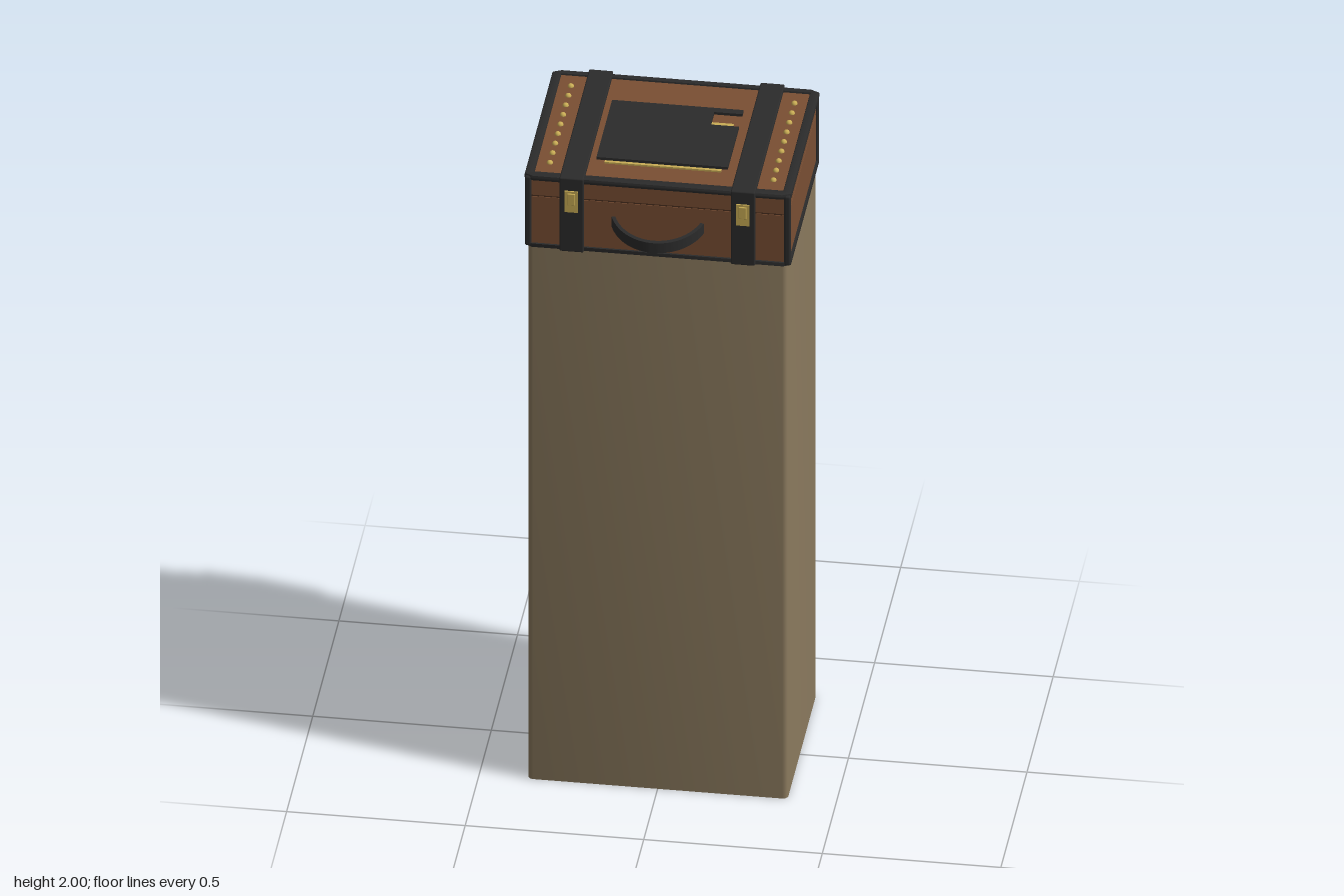
import * as THREE from 'three';
import { toCreasedNormals } from 'three/addons/utils/BufferGeometryUtils.js';
import { RoundedBoxGeometry } from 'three/addons/geometries/RoundedBoxGeometry.js';

const mat = (name, color) => {
  const m = new THREE.MeshStandardMaterial({ color });
  m.name = name;
  return m;
};

export function createModel() {
  const root = new THREE.Group();
  root.name = 'suitcaseOnPedestal';
  const stone = mat('pedestal tan', 0x8b7a5e);
  const leather = mat('brown leather', 0x7a4f33);
  const seamMat = mat('dark brown seam', 0x4a2f1e);
  const black = mat('black leather', 0x2b2b2b);
  const gold = mat('brass', 0xc9ad55);

  const add = (name, geometry, material, parent = root) => {
    const mesh = new THREE.Mesh(geometry, material);
    mesh.name = name;
    parent.add(mesh);
    return mesh;
  };
  // box given by its limits, optionally with rounded edges
  const block = (name, [x0, x1], [y0, y1], [z0, z1], material, r = 0, parent = root) => {
    const s = [x1 - x0, y1 - y0, z1 - z0];
    const g = r ? new RoundedBoxGeometry(...s, 2, r) : new THREE.BoxGeometry(...s);
    g.translate((x0 + x1) / 2, (y0 + y1) / 2, (z0 + z1) / 2);
    return add(name, g, material, parent);
  };
  // outline in x and z with cut corners
  const cutRect = (x, z0, z1, cx, cz) => [
    [-x + cx, z0], [x - cx, z0], [x, z0 + cz], [x, z1 - cz],
    [x - cx, z1], [-x + cx, z1], [-x, z1 - cz], [-x, z0 + cz],
  ];
  // horizontal slab from an outline of [x, z] points
  const slab = (points, y0, y1, hole, bevel = 0) => {
    const toV = (p) => p.map(([x, z]) => new THREE.Vector2(x, -z));
    const shape = new THREE.Shape(toV(points));
    if (hole) shape.holes.push(new THREE.Path(toV(hole)));
    const g = new THREE.ExtrudeGeometry(shape, {
      depth: y1 - y0 - 2 * bevel, bevelEnabled: bevel > 0,
      bevelSize: bevel, bevelThickness: bevel, bevelOffset: -bevel, bevelSegments: 2,
    });
    g.rotateX(-Math.PI / 2).translate(0, y0 + bevel, 0);
    return toCreasedNormals(g, 0.7);
  };

  // Pedestal with softened upright edges
  const outline = [];
  const r = 0.015;
  [[1, 1], [-1, 1], [-1, -1], [1, -1]].forEach(([sx, sz], i) => {
    for (let k = 0; k <= 4; k++) {
      const a = (i + k / 4) * Math.PI / 2;
      outline.push([sx * (0.364 - r) + r * Math.cos(a), -0.038 + sz * (0.272 - r) + r * Math.sin(a)]);
    }
  });
  add('pedestal', slab(outline, 0, 1.755), stone);

  // Case body, lid and seam
  const suitcase = new THREE.Group();
  suitcase.name = 'suitcase';
  root.add(suitcase);
  block('caseBody', [-0.365, 0.365], [1.752, 1.908], [-0.311, 0.231], leather, 0, suitcase);
  block('lidSeam', [-0.363, 0.363], [1.907, 1.914], [-0.309, 0.229], seamMat, 0, suitcase);
  block('caseLid', [-0.365, 0.365], [1.913, 1.974], [-0.311, 0.231], leather, 0, suitcase);

  // Edge trim: rims above and below, strips on the four corners
  const rim = cutRect(0.374, -0.32, 0.238, 0.025, 0.012);
  const opening = [[-0.348, -0.3], [-0.348, 0.21], [0.348, 0.21], [0.348, -0.3]];
  add('topTrim', slab(rim, 1.962, 1.98, opening, 0.006), black, suitcase);
  add('bottomTrim', slab(cutRect(0.372, -0.319, 0.237, 0.02, 0.012), 1.746, 1.757), black, suitcase);
  for (const s of [-1, 1]) {
    for (const [z0, z1] of [[-0.319, -0.302], [0.22, 0.237]]) {
      const x = s < 0 ? [-0.372, -0.354] : [0.354, 0.372];
      block('cornerTrim', x, [1.748, 1.975], [z0, z1], black, 0.006, suitcase);
    }
  }

  for (const s of [-1, 1]) {
    const c = 0.24 * s;
    const side = s > 0 ? 'left' : 'right';
    // Strap over front, top and back
    const strap = new THREE.Group();
    strap.name = side + 'Strap';
    suitcase.add(strap);
    const w = [c - 0.034, c + 0.034];
    block('strapTop', w, [1.966, 1.984], [-0.327, 0.245], black, 0.004, strap);
    block('strapFront', w, [1.744, 1.983], [0.229, 0.245], black, 0.004, strap);
    block('strapBack', w, [1.744, 1.983], [-0.327, -0.309], black, 0.004, strap);

    // Brass latch
    const latch = new THREE.Group();
    latch.name = side + 'Latch';
    suitcase.add(latch);
    block('latchPlate', [c - 0.019, c + 0.019], [1.876, 1.944], [0.243, 0.249], gold, 0, latch);
    block('latchTongue', [c - 0.011, c + 0.011], [1.9, 1.938], [0.248, 0.253], gold, 0.002, latch);

    // Row of studs
    for (let i = 0; i < 9; i++) {
      const stud = add('stud', new THREE.SphereGeometry(0.009, 10, 5, 0, Math.PI * 2, 0, Math.PI / 2), gold, suitcase);
      stud.position.set(0.313 * s, 1.974, -0.245 + i * 0.0502);
    }
  }

  // Handle: a flat band bent in an arc and sloping down to the front
  const cz = 0.181;
  const arc = new THREE.Shape();
  arc.absarc(0, 0, 0.139, 0.38, Math.PI - 0.38, false);
  arc.absarc(0, 0, 0.129, Math.PI - 0.38, 0.38, true);
  const band = new THREE.ExtrudeGeometry(arc, { depth: 0.032, bevelEnabled: false, curveSegments: 24 });
  band.rotateX(Math.PI / 2).translate(0, 1.862, cz);
  const p = band.attributes.position;
  for (let i = 0; i < p.count; i++) p.setY(i, p.getY(i) - 0.24 * (p.getZ(i) - 0.235));
  band.computeVertexNormals();
  add('handle', toCreasedNormals(band, 0.6), black, suitcase);

  // Raised dark panel with a notch, above a brass plate
  add('brassPlate', slab([
    [-0.163, -0.11], [0.163, -0.11], [0.163, -0.083], [0.13, -0.083],
    [0.13, -0.05], [0.163, -0.05], [0.163, 0.137], [-0.163, 0.137],
  ], 1.973, 1.979), gold, suitcase);
  add('topPanel', slab([
    [-0.184, -0.152], [0.184, -0.152], [0.184, -0.13], [0.105, -0.13],
    [0.105, -0.065], [0.184, -0.065], [0.184, 0.148], [-0.184, 0.148],
  ], 1.992, 2), black, suitcase);

  return root;
}
